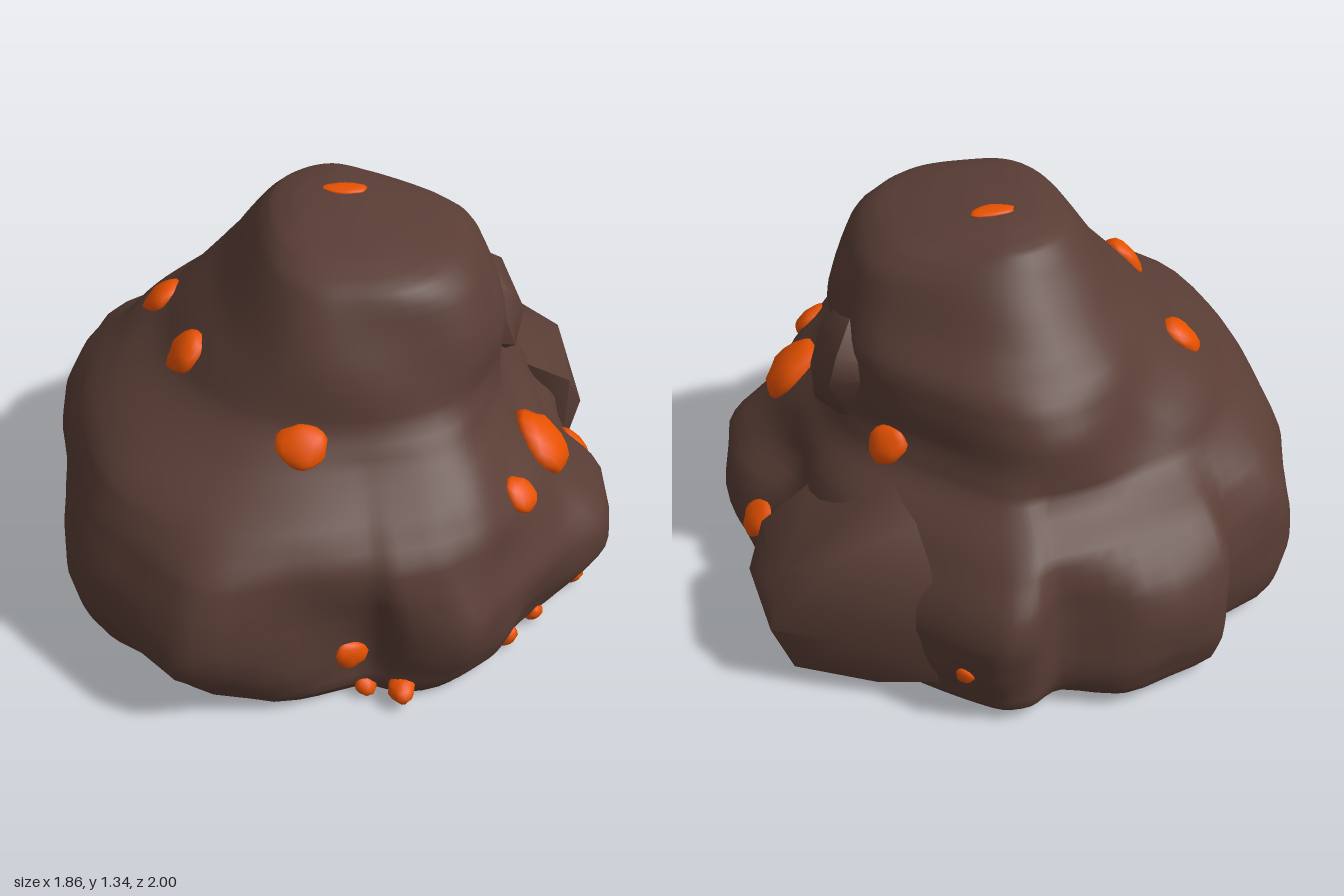
import * as THREE from 'three';
import { mergeVertices, toCreasedNormals } from 'three/addons/utils/BufferGeometryUtils.js';
import { ConvexGeometry } from 'three/addons/geometries/ConvexGeometry.js';

// Foot outline (x, z), running from +x towards +z
const FOOT = [[.93, .1], [.88, .42], [.74, .57], [.56, .74], [.47, .85], [.34, .94], [.14, .94], [.02, .9],
  [-.2, .95], [-.55, .98], [-.84, .63], [-.92, .2], [-.94, -.2], [-.82, -.6], [-.58, -.74], [-.5, -.9],
  [-.2, -.99], [.03, -.91], [.14, -.97], [.25, -.96], [.42, -.83], [.62, -.64], [.77, -.43], [.85, -.2], [.91, -.05]];

// Reach of the rock at each height: y, -x, +x, +z, -z
const LEVELS = [
  [0, .86, .82, .9, .91], [.06, .91, .87, .95, .97], [.18, .94, .93, .97, 1], [.33, .94, .91, .97, 1],
  [.45, .93, .78, .96, .97], [.56, .9, .69, .93, .89], [.66, .83, .59, .83, .72], [.76, .72, .53, .67, .69],
  [.86, .56, .52, .57, .67], [.97, .46, .53, .54, .61], [1.06, .38, .51, .51, .48], [1.2, .29, .45, .45, .36],
  [1.26, .25, .37, .41, .31], [1.3, .21, .22, .29, .27], [1.33, .13, .06, .1, .14]];

const SIDES = 90, RINGS = 44;
const { lerp, smoothstep } = THREE.MathUtils;

const ripple = (x, y, z) =>
  Math.sin(7 * x + 4 * y + 1) * Math.sin(6 * z - 5 * y) + .6 * Math.sin(13 * x - 9 * z) * Math.sin(11 * y + 6 * z);

function reachAt(t) {
  const f = t * (LEVELS.length - 1), i = Math.min(Math.floor(f), LEVELS.length - 2);
  return LEVELS[i].map((v, k) => lerp(v, LEVELS[i + 1][k], f - i));
}

// Rings blend from the irregular foot to a tower, squarer in front and rounder behind
function rockGeometry() {
  const curve = new THREE.CatmullRomCurve3(FOOT.map(([x, z]) => new THREE.Vector3(x, 0, z)), true, 'catmullrom', .35);
  const outline = curve.getPoints(SIDES).slice(0, SIDES);
  const pos = [], index = [];
  for (let r = 0; r <= RINGS; r++) {
    const [y, left, right, front, back] = reachAt(r / RINGS);
    const blend = smoothstep(y, .35, .82);
    for (const p of outline) {
      const ux = p.x / .935, uz = p.z / .985, a = Math.atan2(uz, ux);
      const c = Math.cos(a), s = Math.sin(a);
      const n = 2.4 + .5 * s + .7 * Math.max(c, 0) * Math.min(s, 0);
      const rad = (Math.abs(c) ** n + Math.abs(s) ** n) ** (-1 / n);
      let x = lerp(ux, c * rad, blend), z = lerp(uz, s * rad, blend);
      x *= x < 0 ? left : right;
      z *= z < 0 ? back : front;
      // Undercuts along the front of the foot and a hollow on the right flank
      if (z > 0) z *= 1 - .06 * smoothstep(x, .18, .4) * (1 - smoothstep(y, .08, .35));
      const corner = 1 - .09 * smoothstep(-x, .2, .5) * smoothstep(z, .5, .8) * (1 - smoothstep(y, 0, .3));
      if (x > 0) x *= 1 - .12 * smoothstep(y, .15, .4) * (1 - smoothstep(y, .4, .6)) * Math.exp(-(((z + .05) / .15) ** 2));
      const bump = corner * (1 + .024 * ripple(x, y, z) * Math.min(1, y * 8));
      pos.push(x * bump, y, z * bump);
    }
  }
  for (let r = 0; r < RINGS; r++) for (let k = 0; k < SIDES; k++) {
    const n = (k + 1) % SIDES, a = r * SIDES, b = a + SIDES;
    index.push(a + k, b + k, a + n, a + n, b + k, b + n);
  }
  // Top pole
  const top = pos.length / 3, last = RINGS * SIDES;
  pos.push(-.04, 1.335, 0);
  for (let k = 0; k < SIDES; k++) index.push(last + k, top, last + (k + 1) % SIDES);
  // Flat underside with its own vertices
  const base = top + 1;
  for (let k = 0; k < SIDES; k++) pos.push(pos[k * 3], 0, pos[k * 3 + 2]);
  pos.push(0, 0, 0);
  for (let k = 0; k < SIDES; k++) index.push(base + k, base + (k + 1) % SIDES, base + SIDES);
  const geo = new THREE.BufferGeometry();
  geo.setAttribute('position', new THREE.Float32BufferAttribute(pos, 3));
  geo.setIndex(index);
  geo.computeVertexNormals();
  return geo;
}

// Angular block around a few corners, softened across shallow edges
function blockGeometry(corners) {
  const geo = new ConvexGeometry(corners.map(p => new THREE.Vector3(...p)));
  geo.deleteAttribute('normal');
  return toCreasedNormals(geo, 1);
}

// Slightly uneven crystal
function crystalGeometry(sx, sy, sz) {
  const geo = new THREE.IcosahedronGeometry(1, 2);
  geo.deleteAttribute('uv');
  geo.deleteAttribute('normal');
  const lump = mergeVertices(geo, 1e-3), p = lump.attributes.position;
  for (let i = 0; i < p.count; i++) {
    const v = new THREE.Vector3().fromBufferAttribute(p, i);
    v.multiplyScalar(1 + .1 * ripple(v.x * .4, v.y * .4, v.z * .4));
    p.setXYZ(i, v.x * sx, v.y * sy, v.z * sz);
  }
  lump.computeVertexNormals();
  return lump;
}

export function createModel() {
  const model = new THREE.Group();
  model.name = 'emberRock';
  const stone = new THREE.MeshStandardMaterial({ color: 0x593d35 });
  stone.name = 'brownStone';
  const ember = new THREE.MeshStandardMaterial({ color: 0xe65100 });
  ember.name = 'orangeCrystal';

  const add = (name, geo, mat) => {
    const mesh = new THREE.Mesh(geo, mat);
    mesh.name = name;
    model.add(mesh);
    return mesh;
  };

  add('rockBody', rockGeometry(), stone);

  // Overhanging boulder on the side of the tower
  add('sideBoulder', blockGeometry([
    [.5, 1.04, -.1], [.51, 1.0, .05], [.57, .95, -.19], [.58, .95, .02], [.63, .84, -.04], [.63, .74, -.09],
    [.6, .86, -.21], [.59, .76, .05], [.55, .69, -.02], [.53, .7, -.19], [.35, .9, -.26], [.35, .85, .12],
    [.3, 1.05, -.05]]), stone);

  // Angular slab at the back corner
  add('cornerSlab', blockGeometry([
    [.55, .56, -.24], [.66, .5, -.2], [.85, .38, -.23], [.91, .24, -.29], [.85, .02, -.27], [.86, .4, -.54],
    [.89, .24, -.6], [.82, .04, -.57], [.64, .52, -.62], [.64, .25, -.74], [.57, .03, -.7], [.28, .44, -.82],
    [.32, .12, -.86], [.42, .66, -.42], [.3, .6, -.6], [.3, .05, -.4]]), stone);

  // Crystals sit on the surface: x, y, z, size, thickness; dropped from above or pushed in from the side
  const high = [[-.57, .87, -.2, .075], [-.5, .88, .21, .08], [-.16, .82, .6, .08], [.45, .73, -.37, .07],
    [.84, .3, -.04, .07], [.64, .6, .33, .12], [.53, .62, .6, .065], [.03, 1.33, -.06, .07, .3]];
  const low = [[-.03, .19, .93, .058], [.34, .2, -.92, .032], [.02, .04, .92, .035, 2.5],
    [.14, .06, .95, .042, 3], [.54, .045, .73, .042, 1.5], [.64, .04, .6, .038, 1.5], [.82, .03, .43, .04, 1.3]];
  model.updateMatrixWorld(true);
  const ray = new THREE.Raycaster();
  const solids = model.children.slice();
  const up = new THREE.Vector3(0, 1, 0);
  const place = (name, [x, y, z, size, thickness = 1], fromAbove) => {
    const dir = fromAbove ? new THREE.Vector3(0, -1, 0) : new THREE.Vector3(-x, 0, -z).normalize();
    ray.set(new THREE.Vector3(x, y, z).addScaledVector(dir, -1.5), dir);
    const hit = ray.intersectObjects(solids, false)[0];
    const depth = size * Math.min(.9, .3 + thickness * .6);
    const crystal = add(name, crystalGeometry(size, size * .52 * thickness, depth), ember);
    crystal.position.copy(hit.point);
    crystal.quaternion.setFromUnitVectors(up, hit.face.normal);
    crystal.position.y = Math.max(hit.point.y, size * 1.1);
  };
  high.forEach((c, i) => place('upperCrystal' + (i + 1), c, true));
  low.forEach((c, i) => place('lowerCrystal' + (i + 1), c, false));
  return model;
}
